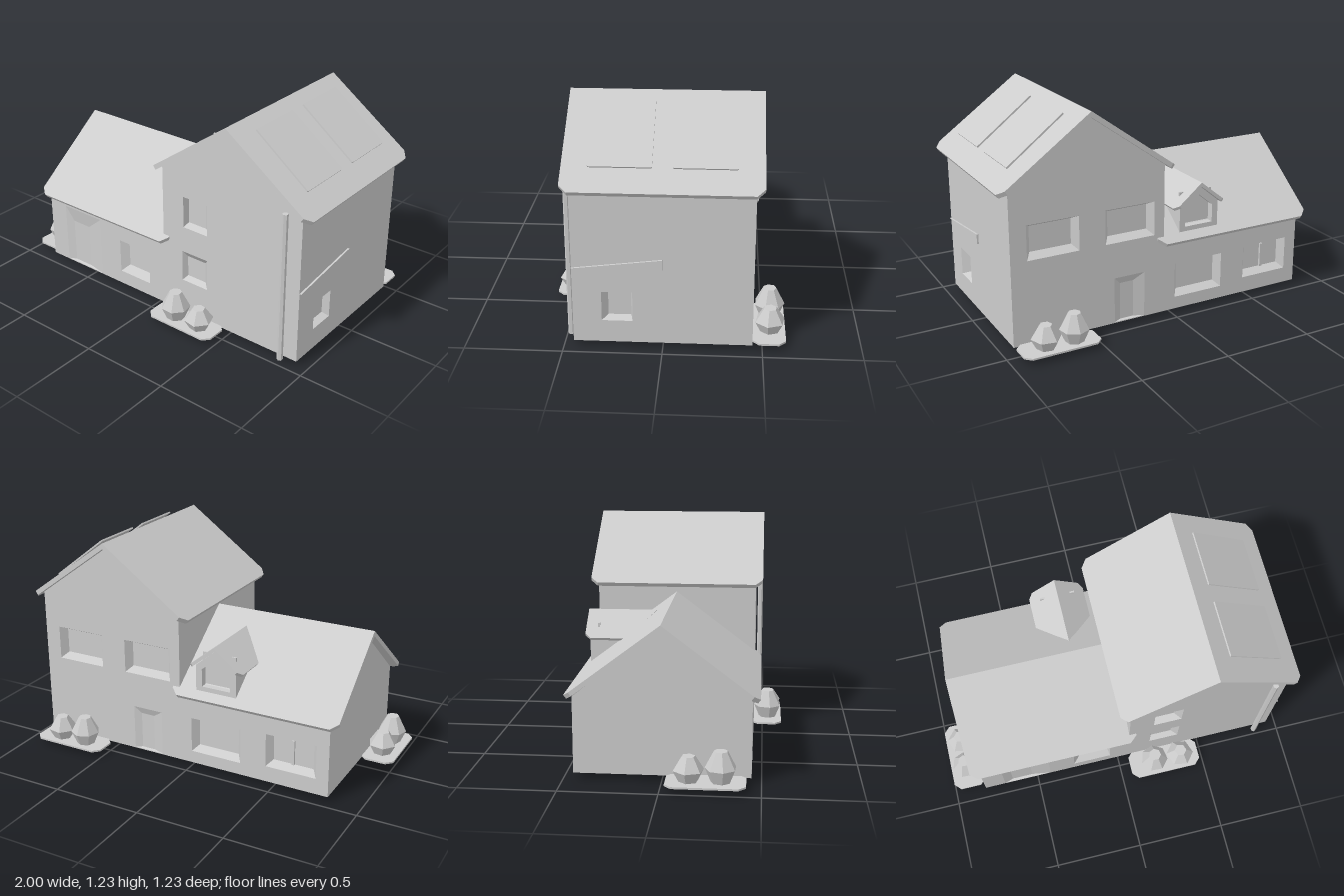
import * as THREE from 'three';

const plaster = new THREE.MeshStandardMaterial({ color: 0xcccccc, flatShading: true, side: THREE.DoubleSide });
plaster.name = 'light grey';

const V = (x, y, z) => new THREE.Vector3(x, y, z);
const toPoints = (pts) => pts.map(([x, y]) => new THREE.Vector2(x, y));
const rect = ([x0, x1, y0, y1]) => [[x0, y0], [x1, y0], [x1, y1], [x0, y1]];

function mesh(name, geometry, parent) {
  const m = new THREE.Mesh(geometry, plaster);
  m.name = name;
  parent.add(m);
  return m;
}

// Geometry from flat convex faces, each a list of corners
function faces(list) {
  const pos = [];
  for (const f of list)
    for (let i = 1; i < f.length - 1; i++) pos.push(...f[0], ...f[i], ...f[i + 1]);
  const g = new THREE.BufferGeometry();
  g.setAttribute('position', new THREE.Float32BufferAttribute(pos, 3));
  g.computeVertexNormals();
  return g;
}

// Flat wall with splayed recesses: outer and inner are [x0, x1, y0, y1]
function wall(name, outline, recesses, turn, distance, parent) {
  const group = new THREE.Group();
  group.name = name;
  group.rotation.y = turn;
  const shape = new THREE.Shape(toPoints(outline));
  for (const { outer } of recesses) shape.holes.push(new THREE.Path(toPoints(rect(outer))));
  mesh(name + 'Surface', new THREE.ShapeGeometry(shape), group).position.z = distance;
  for (const { outer, inner, depth, bar } of recesses) {
    const a = rect(outer).map(([x, y]) => [x, y, distance]);
    const b = rect(inner).map(([x, y]) => [x, y, distance - depth]);
    const sides = a.map((p, i) => [p, a[(i + 1) % 4], b[(i + 1) % 4], b[i]]);
    mesh('recess', faces([...sides, b]), group);
    if (bar) {
      const m = mesh('windowBar', new THREE.BoxGeometry(0.015, inner[3] - inner[2], 0.012), group);
      m.position.set((inner[0] + inner[1]) / 2, (inner[2] + inner[3]) / 2, distance - depth + 0.006);
    }
  }
  parent.add(group);
}

// Sloping slab: outline is (along the ridge, down the slope)
function slab(name, outline, origin, down, thickness, parent) {
  const y = down.clone().normalize();
  const side = V(-y.z, 0, y.x).normalize();
  const z = side.clone().cross(y);
  const g = new THREE.ExtrudeGeometry(new THREE.Shape(toPoints(outline)), { depth: thickness, bevelEnabled: false });
  g.translate(0, 0, -thickness);
  g.applyMatrix4(new THREE.Matrix4().makeBasis(side, y, z).setPosition(origin));
  return mesh(name, g, parent);
}

function roofSlope(name, length, origin, down, thickness, c, parent) {
  const h = length / 2, t = down.length();
  const outline = [[-h, 0], [h, 0], [h, t - c], [h - c, t], [c - h, t], [-h, t - c]];
  return slab(name, outline, origin, down, thickness, parent);
}

export function createModel() {
  const house = new THREE.Group();
  house.name = 'house';

  // Front and back walls share one stepped gable outline
  const outline = [[-0.82, 0.03], [0.94, 0.03], [0.94, 0.88], [0.5, 1.2], [0.06, 0.88], [0.06, 0.43], [-0.82, 0.43]];
  wall('frontWall', outline, [
    { outer: [0.2, 0.36, 0.56, 0.74], inner: [0.205, 0.325, 0.575, 0.715], depth: 0.04 },
    { outer: [0.19, 0.36, 0.23, 0.41], inner: [0.205, 0.325, 0.25, 0.37], depth: 0.03 },
    { outer: [-0.27, -0.05, 0.11, 0.31], inner: [-0.23, -0.06, 0.15, 0.3], depth: 0.035 },
    { outer: [-0.7, -0.42, 0.035, 0.39], inner: [-0.65, -0.53, 0.04, 0.3], depth: 0.015 },
  ], 0, 0.45, house);

  const backOutline = outline.map(([x, y]) => [-x, y]).reverse();
  const backWindow = (x0, x1, y0, y1, bar) => ({
    outer: [-x1, -x0, y0, y1], inner: [-x1 + 0.03, -x0 - 0.03, y0 + 0.03, y1 - 0.02], depth: 0.04, bar,
  });
  wall('backWall', backOutline, [
    backWindow(0.56, 0.85, 0.49, 0.68),
    backWindow(0.12, 0.41, 0.49, 0.68),
    backWindow(-0.31, -0.01, 0.1, 0.3),
    backWindow(-0.75, -0.46, 0.12, 0.31, true),
    { outer: [-0.36, -0.18, 0.035, 0.29], inner: [-0.32, -0.24, 0.04, 0.25], depth: 0.015 },
  ], Math.PI, 0.45, house);

  // End walls
  wall('rightWall', rect([-0.45, 0.45, 0.03, 0.88]), [
    { outer: [-0.305, -0.15, 0.15, 0.31], inner: [-0.275, -0.16, 0.165, 0.295], depth: 0.04 },
  ], Math.PI / 2, 0.94, house);
  wall('upperLeftWall', rect([-0.45, 0.45, 0.4, 0.88]), [], -Math.PI / 2, -0.06, house);
  wall('wingEndWall', [[-0.45, 0.03], [0.45, 0.03], [0.45, 0.43], [0, 0.785], [-0.45, 0.43]], [],
    -Math.PI / 2, 0.82, house);

  // Thin wedge ledge on the right wall
  const ledge = new THREE.ExtrudeGeometry(new THREE.Shape(toPoints([[-0.45, 0.44], [0, 0.44], [0, 0.495]])),
    { depth: 0.012, bevelEnabled: false });
  const ledgeMesh = mesh('wallLedge', ledge, house);
  ledgeMesh.rotation.y = Math.PI / 2;
  ledgeMesh.position.x = 0.938;

  // Shallow hipped underside
  const [a, b, c, d] = [[-0.82, 0.03, 0.45], [0.94, 0.03, 0.45], [0.94, 0.03, -0.45], [-0.82, 0.03, -0.45]];
  const p = [-0.38, 0, 0], q = [0.5, 0, 0];
  mesh('underside', faces([[b, a, p, q], [d, c, q, p], [c, b, q], [a, d, p]]), house);

  // Main and wing roofs
  for (const s of [-1, 1]) {
    roofSlope('mainRoofSlope', 0.98, V(0.5, 1.225, 0), V(0.5 * s, -0.36, 0), 0.026, 0.04, house);
    roofSlope('wingRoofSlope', 0.97, V(-0.385, 0.81, 0), V(0, -0.37, 0.49 * s), 0.024, 0.04, house);
    // Raised panels on the right slope
    roofSlope('roofPanel', 0.31, V(0.595, 1.2, 0.205 * s), V(0.31, -0.238, 0), 0.009, 0.004, house);
  }

  // Dormer on the back of the wing roof
  const dormer = new THREE.Group();
  dormer.name = 'dormer';
  dormer.position.x = -0.16;
  house.add(dormer);
  const body = new THREE.Shape(toPoints([[-0.12, 0.44], [0.12, 0.44], [0.12, 0.62], [0, 0.72], [-0.12, 0.62]]));
  body.holes.push(new THREE.Path(toPoints([[-0.085, 0.5], [0.085, 0.5], [0.085, 0.6], [0, 0.67], [-0.085, 0.6]])));
  mesh('dormerBody', new THREE.ExtrudeGeometry(body, { depth: 0.3, bevelEnabled: false }), dormer).position.z = -0.445;
  mesh('dormerWindow', new THREE.BoxGeometry(0.2, 0.25, 0.01), dormer).position.set(0, 0.56, -0.4);
  const down = V(0.16, -0.13, 0), t = down.length();
  const slope = [[-0.47, 0], [-0.09, 0], [-0.25, t], [-0.44, t], [-0.47, t - 0.03]];
  const right = slab('dormerRoofSlope', slope, V(0, 0.745, 0), down, 0.018, dormer);
  const left = right.clone();
  left.scale.x = -1;
  dormer.add(left);

  // Drainpipe at the front right corner
  const pipe = mesh('drainpipe', new THREE.CylinderGeometry(0.016, 0.016, 0.85, 6), house);
  pipe.position.set(0.855, 0.447, 0.475);

  // Planting beds with two faceted bushes each
  const beds = [
    { x: 0.27, z: 0.525, w: 0.42, d: 0.17, bushes: [[0.205, 0.53, 0.16], [0.365, 0.53, 0.12]] },
    { x: 0.725, z: -0.535, w: 0.43, d: 0.17, bushes: [[0.64, -0.54, 0.16], [0.8, -0.54, 0.13]] },
    { x: -0.905, z: 0.225, w: 0.19, d: 0.4, bushes: [[-0.905, 0.3, 0.16], [-0.905, 0.14, 0.13]] },
  ];
  for (const { x, z, w, d: depth, bushes } of beds) {
    const u = w / 2, v = depth / 2, k = 0.035;
    const bed = new THREE.Shape(toPoints([[-u + k, -v], [u - k, -v], [u, -v + k], [u, v - k],
      [u - k, v], [-u + k, v], [-u, v - k], [-u, -v + k]]));
    const bedMesh = mesh('plantingBed', new THREE.ExtrudeGeometry(bed, { depth: 0.01, bevelEnabled: false }), house);
    bedMesh.rotation.x = -Math.PI / 2;
    bedMesh.position.set(x, 0.03, z);
    bushes.forEach(([bx, bz, h], i) => {
      const profile = [[0, 0], [0.05, 0], [0.08, h * 0.45], [0.035, h], [0, h]];
      const bush = mesh('bush', new THREE.LatheGeometry(toPoints(profile), 7 - i), house);
      bush.position.set(bx, 0.038, bz);
      bush.rotation.y = 0.4 + i;
    });
  }
  return house;
}
